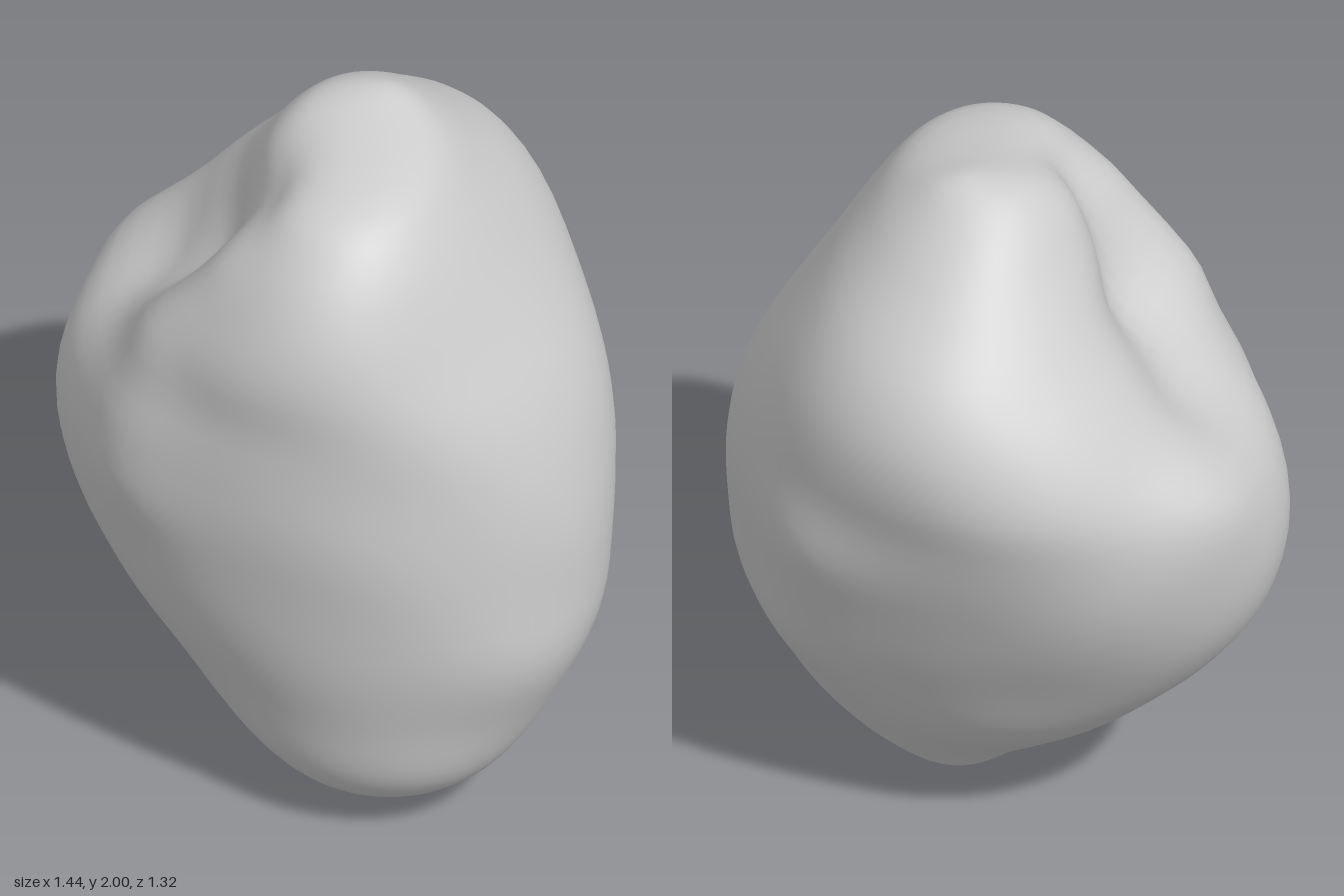
import * as THREE from 'three';
import { mergeVertices } from 'three/addons/utils/BufferGeometryUtils.js';

// Cross-section limits: [y, xMin, xMax, zMin, zMax, skew]
// A positive skew fills the front right and back left corners.
const SECTIONS = [
  [0, 0.12, 0.12, 0.15, 0.15, 0],
  [0.02, 0.02, 0.23, 0.06, 0.28, 0],
  [0.1, -0.12, 0.38, -0.02, 0.46, 0.05],
  [0.2, -0.25, 0.48, -0.12, 0.55, 0.14],
  [0.4, -0.43, 0.6, -0.31, 0.6, 0.23],
  [0.6, -0.59, 0.69, -0.43, 0.64, 0.27],
  [0.8, -0.69, 0.715, -0.53, 0.65, 0.25],
  [1.0, -0.72, 0.72, -0.6, 0.655, 0.2],
  [1.2, -0.67, 0.69, -0.64, 0.645, 0.14],
  [1.33, -0.58, 0.65, -0.655, 0.64, 0.06],
  [1.5, -0.47, 0.57, -0.62, 0.63, -0.08],
  [1.65, -0.34, 0.48, -0.53, 0.59, -0.15],
  [1.8, -0.24, 0.37, -0.36, 0.5, -0.13],
  [1.9, -0.17, 0.29, -0.24, 0.37, -0.08],
  [1.97, -0.06, 0.2, -0.14, 0.09, 0],
  [2, 0.1, 0.1, -0.05, -0.05, 0],
];

const v = (x, y, z) => new THREE.Vector3(x, y, z);

// Soft hollows or swellings pressed along a line segment
const press = (from, to, push, r) => ({ line: new THREE.Line3(v(...from), v(...to)), push: v(...push), r });
const PRESSES = [
  // broad bowl high on the left flank
  press([-0.42, 1.42, -0.1], [-0.32, 1.52, -0.02], [0.09, -0.09, 0.02], 0.18),
  // groove climbing from the bowl to the crown
  press([-0.36, 1.48, 0.04], [-0.14, 1.82, 0.17], [0.07, -0.05, -0.01], 0.12),
  // ridge in front of the groove and the shoulder below it
  press([-0.44, 1.48, 0.27], [-0.28, 1.68, 0.3], [-0.02, 0.01, 0.015], 0.12),
  press([-0.52, 1.32, 0.33], [-0.56, 1.05, 0.38], [-0.03, 0.01, 0.025], 0.17),
  // back left shoulder
  press([-0.52, 1.22, -0.42], [-0.52, 1.2, -0.4], [-0.02, 0.02, -0.02], 0.16),
  // full back right flank
  press([0.54, 1.0, -0.36], [0.5, 0.62, -0.2], [0.04, 0, -0.035], 0.2),
];

function stoneGeometry() {
  const angle = (y) => Math.acos(THREE.MathUtils.clamp(1 - y, -1, 1));
  const profile = new THREE.CubicInterpolant(
    SECTIONS.map((s) => angle(s[0])), SECTIONS.flatMap((s) => s.slice(1)), 5, new Float32Array(5));

  const sphere = new THREE.SphereGeometry(1, 72, 56);
  sphere.deleteAttribute('uv');
  sphere.deleteAttribute('normal');
  const geometry = mergeVertices(sphere, 1e-5);
  const pos = geometry.attributes.position;
  const p = v(0, 0, 0), near = v(0, 0, 0);

  for (let i = 0; i < pos.count; i++) {
    p.fromBufferAttribute(pos, i);
    const a = Math.atan2(p.z, p.x);
    const y = 1 + p.y;
    const [x0, x1, z0, z1, skew] = profile.evaluate(angle(y));
    p.set((x0 + x1) / 2 + Math.cos(a - skew / 2) * (x1 - x0) / 2, y,
      (z0 + z1) / 2 + Math.sin(a + skew / 2) * (z1 - z0) / 2);

    // hollows and ridges
    const base = p.clone();
    for (const { line, push, r } of PRESSES) {
      line.closestPointToPoint(base, true, near);
      p.addScaledVector(push, Math.exp(-near.distanceToSquared(base) / (r * r)));
    }

    // faint uneven surface
    const bump = 0.004 * Math.sin(9 * base.x + 4 * base.y) * Math.sin(8 * base.z - 7 * base.y);
    p.x += bump * Math.cos(a);
    p.z += bump * Math.sin(a);
    pos.setXYZ(i, p.x, p.y, p.z);
  }
  geometry.computeVertexNormals();
  return geometry;
}

export function createModel() {
  const group = new THREE.Group();
  group.name = 'stone';
  const body = new THREE.Mesh(stoneGeometry(), new THREE.MeshStandardMaterial({ color: 0xcccccc }));
  body.name = 'stoneBody';
  group.add(body);
  return group;
}
